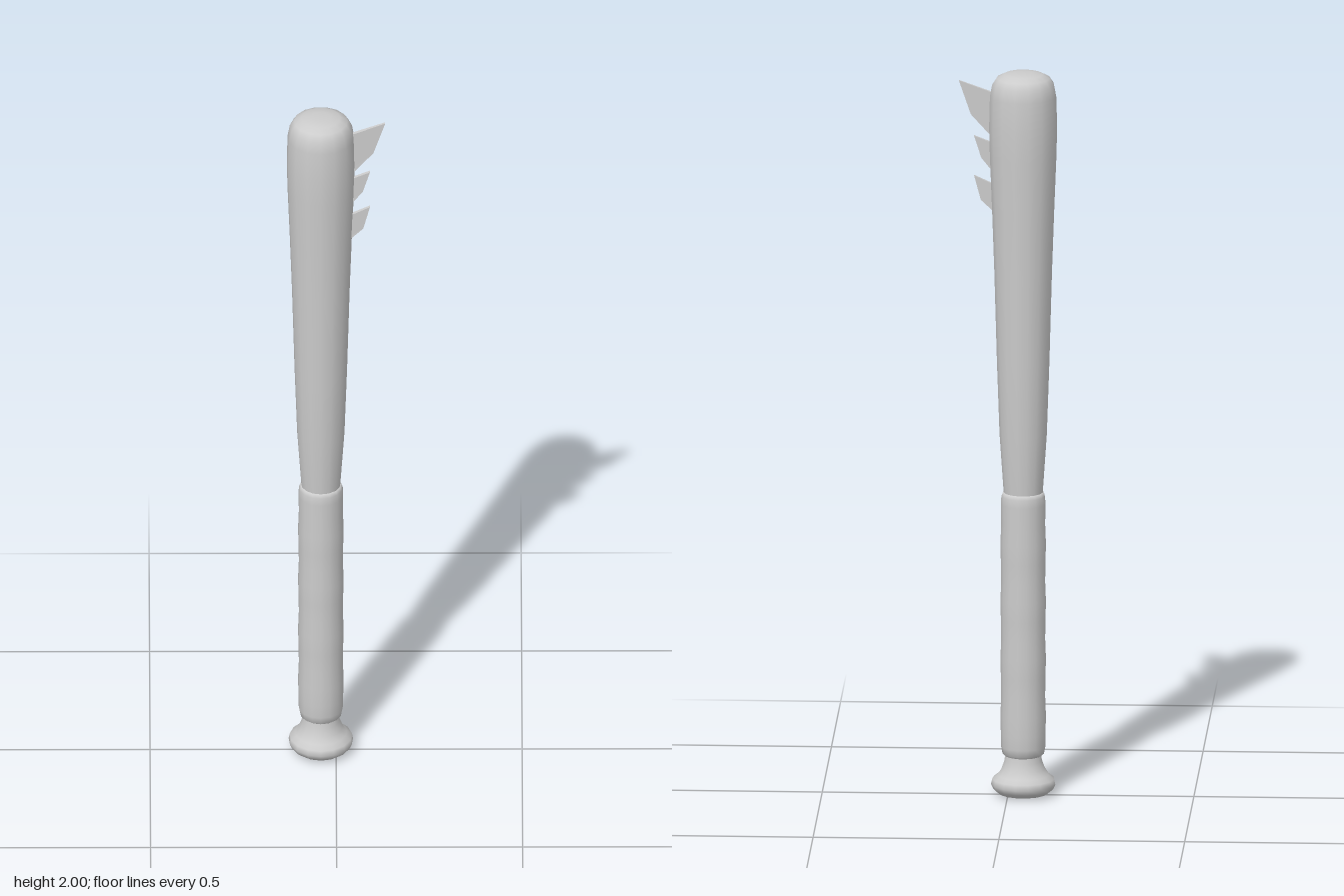
import * as THREE from 'three';

const AXIS_X = -0.041; // centre line of the bat
const SIDES = 15;

const material = new THREE.MeshStandardMaterial({ color: 0xcccccc });

// Round part from a [radius, height] profile, listed bottom to top
function turned(name, profile) {
  const points = profile.map(([r, y]) => new THREE.Vector2(r, y));
  const mesh = new THREE.Mesh(new THREE.LatheGeometry(points, SIDES), material);
  mesh.name = name;
  mesh.position.x = AXIS_X;
  return mesh;
}

// Thin jagged shard from an [x, y] outline, slightly thinner towards its tip
function shard(name, outline) {
  const shape = new THREE.Shape(outline.map(([x, y]) => new THREE.Vector2(x, y)));
  const geometry = new THREE.ExtrudeGeometry(shape, { depth: 0.012, bevelEnabled: false });
  geometry.translate(0, 0, -0.007);
  const p = geometry.attributes.position;
  for (let i = 0; i < p.count; i++) {
    const out = THREE.MathUtils.clamp((p.getX(i) - 0.04) / 0.09, 0, 1);
    p.setZ(i, p.getZ(i) * (1 - 0.4 * out) - 0.003 * out);
  }
  geometry.computeVertexNormals();
  const mesh = new THREE.Mesh(geometry, material);
  mesh.name = name;
  return mesh;
}

export function createModel() {
  const bat = new THREE.Group();
  bat.name = 'spikedBat';

  // Tapered barrel with a rounded end
  bat.add(turned('barrel', [
    [0.05, 0.8], [0.053, 0.84], [0.064, 1.0], [0.071, 1.2], [0.078, 1.45],
    [0.084, 1.62], [0.09, 1.77], [0.092, 1.85], [0.09, 1.935], [0.084, 1.968],
    [0.072, 1.986], [0.052, 1.996], [0.025, 2.0], [0, 2.0],
  ]));

  // Wrapped grip with gently uneven girth
  const grip = [[0, 0.107], [0.046, 0.107], [0.056, 0.115], [0.06, 0.135]];
  for (let i = 0; i <= 12; i++) {
    grip.push([0.0605 + 0.0012 * Math.sin(i * 2.1), 0.17 + i * 0.053]);
  }
  grip.push([0.059, 0.828], [0.055, 0.838], [0.04, 0.842], [0, 0.842]);
  bat.add(turned('grip', grip));

  // Flared knob
  bat.add(turned('knob', [
    [0, 0], [0.035, 0.001], [0.066, 0.005], [0.08, 0.016], [0.087, 0.03],
    [0.084, 0.045], [0.07, 0.056], [0.059, 0.073], [0.051, 0.095], [0.048, 0.118],
  ]));

  // Three shards along the left side of the barrel
  bat.add(
    shard('topShard', [[0.03, 1.83], [0.05, 1.83], [0.1, 1.885], [0.132, 1.978], [0.05, 1.948], [0.03, 1.945]]),
    shard('middleShard', [[0.03, 1.735], [0.048, 1.735], [0.072, 1.765], [0.091, 1.825], [0.048, 1.808], [0.03, 1.805]]),
    shard('lowerShard', [[0.03, 1.62], [0.043, 1.62], [0.073, 1.648], [0.091, 1.715], [0.048, 1.695], [0.03, 1.69]]),
  );

  return bat;
}
